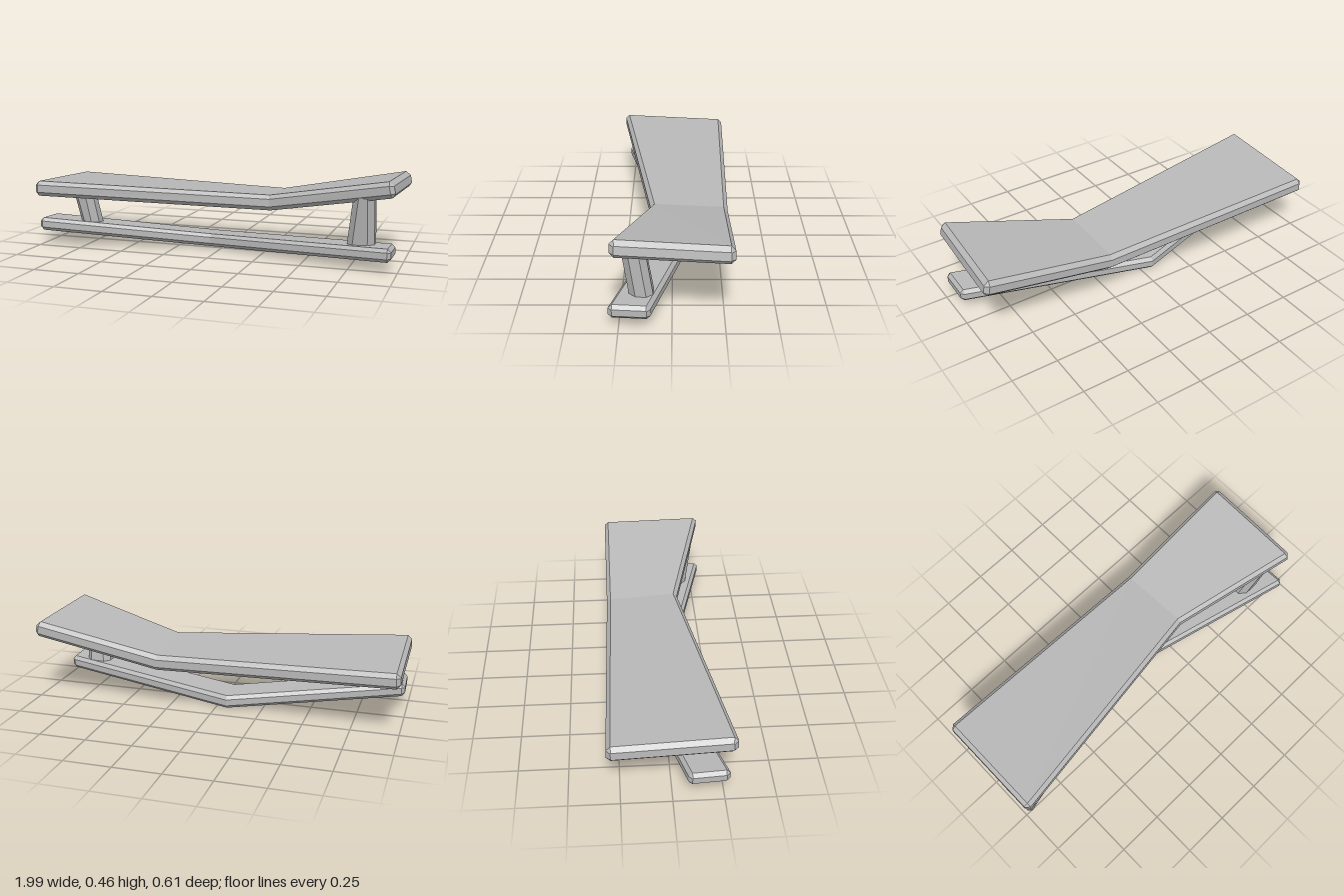
import * as THREE from 'three';

// Chamfered rectangle, eight corners
function octagon(u0, u1, v0, v1, c) {
  return [[u0 + c, v0], [u1 - c, v0], [u1, v0 + c], [u1, v1 - c],
    [u1 - c, v1], [u0 + c, v1], [u0, v1 - c], [u0, v0 + c]];
}

// Skin a list of rings and cap both ends
function loft(rings) {
  const pos = [];
  const tri = (a, b, c) => pos.push(...a, ...b, ...c);
  const n = rings[0].length;
  for (let i = 0; i < rings.length - 1; i++) {
    const a = rings[i], b = rings[i + 1];
    for (let j = 0; j < n; j++) {
      const k = (j + 1) % n;
      tri(a[j], b[j], b[k]);
      tri(a[j], b[k], a[k]);
    }
  }
  const first = rings[0], last = rings[rings.length - 1];
  for (let j = 1; j < n - 1; j++) {
    tri(first[0], first[j], first[j + 1]);
    tri(last[0], last[j + 1], last[j]);
  }
  const geo = new THREE.BufferGeometry();
  geo.setAttribute('position', new THREE.Float32BufferAttribute(pos, 3));
  geo.computeVertexNormals();
  return geo;
}

// Bent plank: stations run along x; back and front edges have their own x and base height
function plank(stations, thickness, chamfer) {
  const ring = (s, inset, dx) => {
    const c = inset ? 0.003 : chamfer;
    return octagon(s.zBack + inset, s.zFront - inset, inset, thickness - inset, c).map(([z, v]) => {
      const t = (z - s.zBack) / (s.zFront - s.zBack);
      return [
        THREE.MathUtils.lerp(s.xBack, s.xFront, t) + dx - s.lean * (v - thickness / 2),
        THREE.MathUtils.lerp(s.yBack, s.yFront, t) + v, z];
    });
  };
  const end = stations.length - 1;
  return loft([
    ring(stations[0], chamfer, 0),
    ...stations.map((s, i) => ring(s, 0, i === 0 ? chamfer : i === end ? -chamfer : 0)),
    ring(stations[end], chamfer, 0),
  ]);
}

// Leaning post with chamfered corners: levels run up y
function post(levels) {
  return loft(levels.map(([y, x0, x1, z0, z1]) =>
    octagon(x0, x1, z0, z1, 0.032).map(([x, z]) => [x, y, z])));
}

const station = (xBack, xFront, zBack, zFront, yBack, yFront, lean) =>
  ({ xBack, xFront, zBack, zFront, yBack, yFront, lean });

export function createModel() {
  const group = new THREE.Group();
  const grey = new THREE.MeshStandardMaterial({ color: 0xb8b8b8, flatShading: true });
  grey.name = 'plain grey';
  const add = (name, geo) => {
    const mesh = new THREE.Mesh(geo, grey);
    mesh.name = name;
    group.add(mesh);
  };

  // Broad upper board, pinched on its front edge and kicked up on the left
  add('upperBoard', plank([
    station(-0.995, -0.995, -0.31, 0.303, 0.26, 0.29, -0.05),
    station(0.29, 0.3, -0.287, 0.114, 0.228, 0.25, 0.08),
    station(0.995, 0.975, -0.287, 0.283, 0.357, 0.38, 0.2),
  ], 0.083, 0.021));

  // Narrow lower rail, bent down and back in the middle
  add('lowerRail', plank([
    station(-0.99, -0.985, 0.075, 0.275, 0.083, 0.092, 0),
    station(-0.06, -0.06, -0.155, 0.035, 0.0, 0.012, 0),
    station(0.97, 0.97, 0.1, 0.297, 0.05, 0.06, 0),
  ], 0.07, 0.018));

  // Two posts joining rail and board
  add('leftPost', post([
    [0.09, 0.727, 0.872, 0.085, 0.2],
    [0.385, 0.766, 0.872, 0.13, 0.243],
  ]));
  add('rightPost', post([
    [0.11, -0.775, -0.67, 0.07, 0.185],
    [0.31, -0.818, -0.705, 0.095, 0.205],
  ]));

  return group;
}
